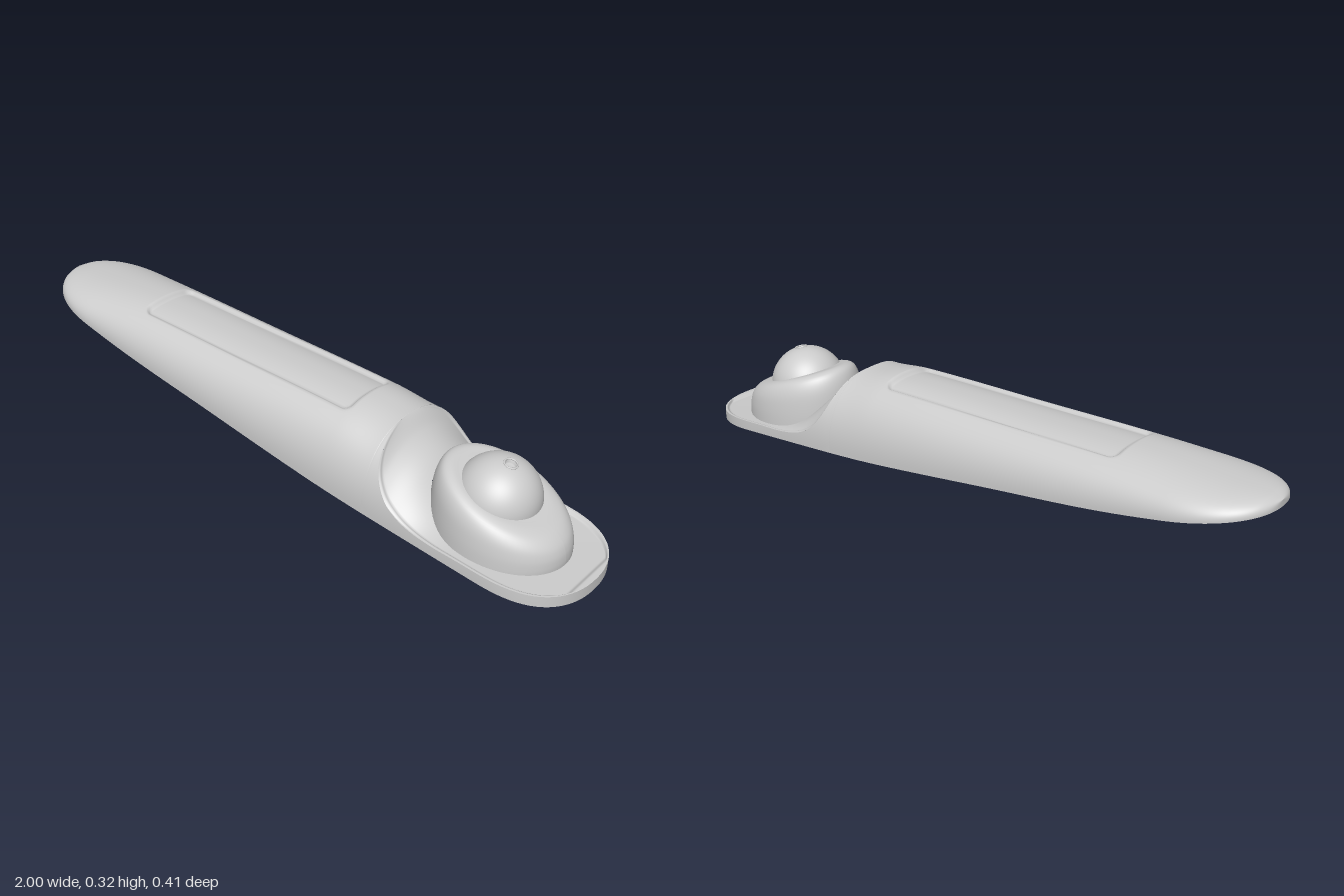
import * as THREE from 'three';

const material = new THREE.MeshStandardMaterial({ color: 0xcccccc, side: THREE.DoubleSide });
const { smoothstep, lerp } = THREE.MathUtils;
const CUT = 0.39; // where the handle ends and the scoop begins

// Smooth interpolation through [x, y] points
function curve(pts) {
  const slope = pts.map((p, i) => {
    const a = pts[Math.max(i - 1, 0)], b = pts[Math.min(i + 1, pts.length - 1)];
    return (b[1] - a[1]) / (b[0] - a[0]);
  });
  return (x) => {
    let i = 0;
    while (i < pts.length - 2 && x > pts[i + 1][0]) i++;
    const [x0, y0] = pts[i], [x1, y1] = pts[i + 1], d = x1 - x0;
    const t = Math.min(Math.max((x - x0) / d, 0), 1), t2 = t * t, t3 = t2 * t;
    return (2 * t3 - 3 * t2 + 1) * y0 + (t3 - 2 * t2 + t) * d * slope[i]
      + (3 * t2 - 2 * t3) * y1 + (t3 - t2) * d * slope[i + 1];
  };
}

// Side profiles: lower edge, crown, scoop along the middle and along the sides
const base = curve([[-1, 0.27], [-0.6, 0.19], [-0.2, 0.135], [0.2, 0.08], [0.4, 0.058], [1, 0.002]]);
const crown = curve([[-1, 0.29], [-0.97, 0.302], [-0.88, 0.31], [-0.6, 0.32], [-0.2, 0.311], [0.25, 0.3], [CUT, 0.285], [1, 0.285]]);
const scoopMiddle = curve([[CUT, 0.285], [0.44, 0.24], [0.5, 0.195], [0.6, 0.1], [0.7, 0.062], [1, 0.035]]);
const scoopSide = curve([[CUT, 0.285], [0.41, 0.2], [0.45, 0.14], [0.5, 0.1], [0.55, 0.079], [0.62, 0.066], [0.7, 0.06], [1, 0.035]]);

// Half width in plan, with rounded ends
function halfWidth(x) {
  const body = lerp(0.168, 0.205, smoothstep(x, -1.3, 0.45));
  const round = (u, n) => (u <= 0 ? 1 : Math.pow(Math.max(1 - Math.pow(u, n), 0), 0.45));
  return body * round((-0.75 - x) / 0.25, 2.4) * round((x - 0.75) / 0.25, 2.8);
}

// Shallow rounded-rectangle panel pressed into the crown
function panelDepth(x, z) {
  const r = 0.03, dx = Math.abs(x + 0.16) - 0.415 + r, dz = Math.abs(z) - 0.102 + r;
  const d = Math.hypot(Math.max(dx, 0), Math.max(dz, 0)) + Math.min(Math.max(dx, dz), 0) - r;
  return 0.013 * (1 - smoothstep(d, -0.014, 0));
}

// Point on the arched cross-section; angle runs 0..PI from +z to -z
function arch(x, angle, inset = 0) {
  const c = Math.cos(angle), s = Math.max(Math.sin(angle), 0), p = 2 / 2.3;
  const z = Math.max(halfWidth(x) - inset, 0) * Math.sign(c) * Math.pow(Math.abs(c), p);
  const h = Math.max(crown(x) - inset - base(x), 0.004);
  return [x, base(x) + h * Math.pow(s, p) - panelDepth(x, z), z];
}

function scoop(x, z) {
  const k = 1 - Math.min(Math.abs(z) / 0.2, 1) ** 2;
  return lerp(scoopSide(x), scoopMiddle(x), k);
}

// Angle at which the arch meets the scoop
function rimAngle(x) {
  let lo = 0, hi = Math.PI / 2;
  for (let i = 0; i < 40; i++) {
    const mid = (lo + hi) / 2, p = arch(x, mid);
    if (p[1] < scoop(x, p[2])) lo = mid; else hi = mid;
  }
  return lo;
}

// Surface grid from point(u, v), optionally leaving out some quads
function grid(name, nu, nv, point, skip) {
  const pos = [], index = [];
  for (let i = 0; i <= nu; i++)
    for (let j = 0; j <= nv; j++) pos.push(...point(i / nu, j / nv));
  for (let i = 0; i < nu; i++)
    for (let j = 0; j < nv; j++) {
      if (skip && skip(point((i + 0.5) / nu, (j + 0.5) / nv))) continue;
      const a = i * (nv + 1) + j, b = a + nv + 1;
      index.push(a, a + 1, b, b, a + 1, b + 1);
    }
  const g = new THREE.BufferGeometry();
  g.setAttribute('position', new THREE.Float32BufferAttribute(pos, 3));
  g.setIndex(index);
  g.computeVertexNormals();
  const mesh = new THREE.Mesh(g, material);
  mesh.name = name;
  return mesh;
}

export function createModel() {
  const model = new THREE.Group();
  model.name = 'handheldDevice';

  // Handle: outer and inner skins, closer stations at the rounded tip
  const handleX = (u) => -1 + (CUT + 1) * (u < 0.12 ? u * u / 0.24 : (u - 0.06) / 0.94);
  model.add(grid('handleShell', 230, 80, (u, v) => arch(handleX(u), Math.PI * v)));
  model.add(grid('handleLining', 150, 64, (u, v) => arch(handleX(u), Math.PI * v, 0.014)));

  // Nose: side walls up to the scooped rim, and the lower lip of the whole shell
  const noseX = (u) => CUT + (1 - CUT) * Math.sin(u * Math.PI / 2) ** 1.3;
  for (const side of [1, -1]) {
    model.add(grid('noseWall', 120, 14, (u, v) => {
      const x = noseX(u), [, y, z] = arch(x, rimAngle(x) * v);
      return [x, y, side * z];
    }));
    model.add(grid('lowerLip', 120, 1, (u, v) => {
      const x = -Math.cos(u * Math.PI);
      return [x, base(x), side * Math.max(halfWidth(x) - 0.014 * v, 0)];
    }));
  }

  // Scoop floor with a fine raised rim, open beneath the mound
  const inMound = ([x, , z]) => Math.hypot((x - 0.705) / 0.195, z / 0.16) < 1;
  model.add(grid('scoopFloor', 130, 56, (u, v) => {
    const x = noseX(u), edge = arch(x, rimAngle(x))[2];
    const z = edge * Math.sin((v - 0.5) * Math.PI);
    const step = 0.008 * smoothstep(edge - Math.abs(z), 0.008, 0.016) * (1 - smoothstep(x, 0.97, 0.985));
    return [x, scoop(x, z) - step * smoothstep(x, CUT, 0.43), z];
  }, inMound));

  // Underside ring around the hollow of the mound
  model.add(grid('undersideRing', 96, 4, (u, v) => {
    const a = u * Math.PI * 2, c = Math.cos(a), s = Math.sin(a);
    const xo = 0.705 + (c > 0 ? 0.295 : 0.25) * c;
    const zo = c > 0 ? Math.sign(s) * halfWidth(xo) : halfWidth(0.705) * s;
    const x = lerp(0.705 + 0.205 * c, xo, v);
    return [x, base(x), lerp(0.168 * s, zo, v)];
  }));

  // Mound: elliptical rings rising to a top that tilts toward the nose
  const rings = new THREE.SplineCurve([[1, -0.25], [1, 0], [0.985, 0.35], [0.94, 0.68], [0.85, 0.9], [0.72, 0.99], [0.57, 1], [0.4, 1]]
    .map(([s, f]) => new THREE.Vector2(s, f)));
  model.add(grid('mound', 32, 72, (u, v) => {
    const { x: s, y: f } = rings.getPoint(u), a = v * Math.PI * 2;
    const x = lerp(0.69, 0.705, s) + 0.205 * s * Math.cos(a);
    const top = 0.19 - 0.35 * (x - 0.69);
    return [x, lerp(0.05, top, f), 0.168 * s * Math.sin(a)];
  }));

  // Ball with a small dimple, leaning toward the nose
  const R = 0.12, profile = [[0, R - 0.013], [0.013, R - 0.013], [0.016, R - 0.01], [0.017, R - 0.002]];
  for (let i = 0; i <= 24; i++) {
    const a = lerp(0.17, 1.7, i / 24);
    profile.push([R * Math.sin(a), R * Math.cos(a)]);
  }
  const ball = new THREE.Mesh(new THREE.LatheGeometry(profile.map(([x, y]) => new THREE.Vector2(x, y)), 64), material);
  ball.name = 'ball';
  const ring = new THREE.Mesh(new THREE.TorusGeometry(0.0185, 0.0025, 10, 40), material);
  ring.name = 'dimpleRing';
  ring.rotation.x = Math.PI / 2;
  ring.position.y = R - 0.001;
  const head = new THREE.Group();
  head.name = 'ballHead';
  head.add(ball, ring);
  head.position.set(0.69, 0.15, 0);
  head.rotation.z = -0.25;
  model.add(head);

  return model;
}
